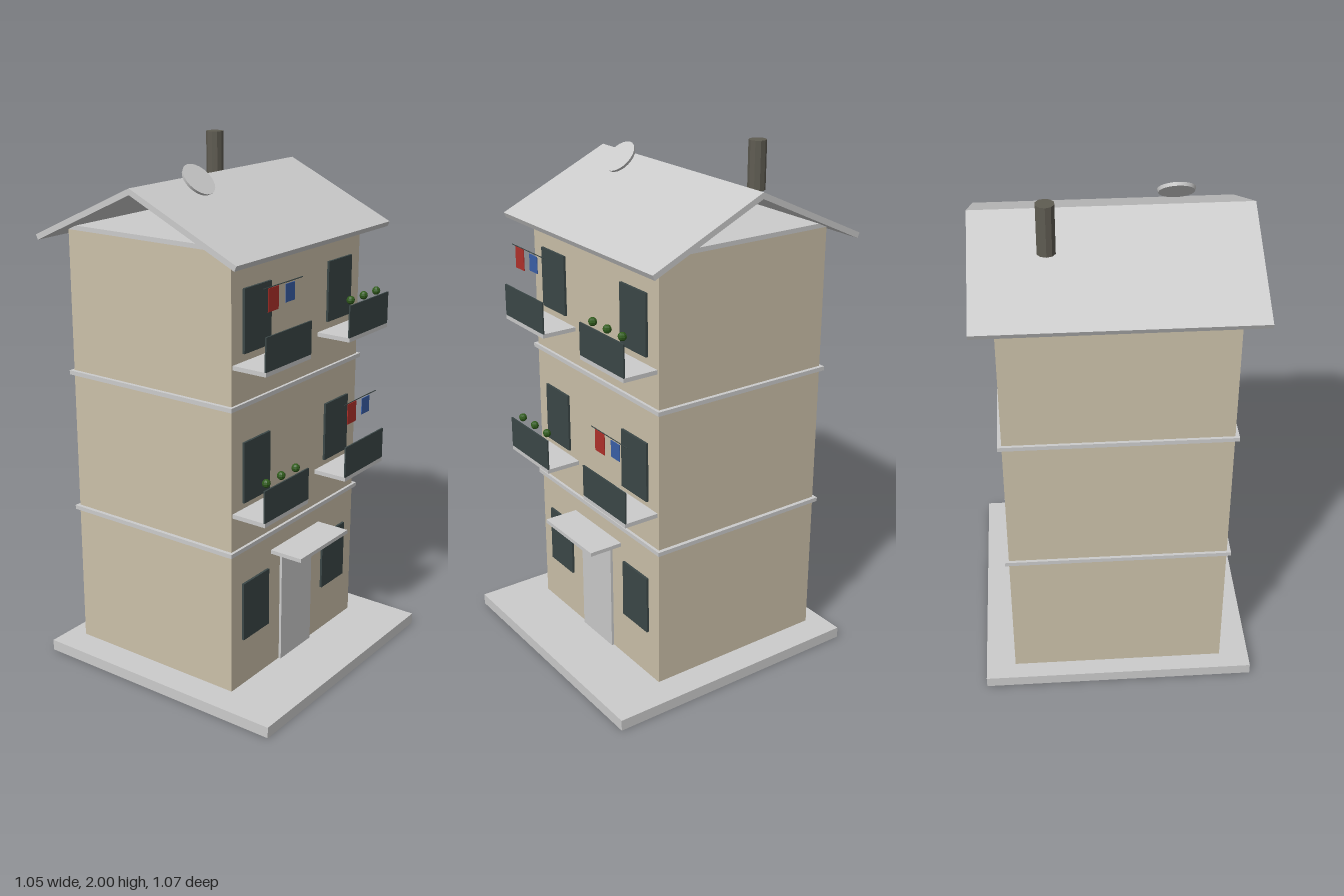
import * as THREE from 'three';

const mat = (name, color) => {
  const m = new THREE.MeshStandardMaterial({ color });
  m.name = name;
  return m;
};

export function createModel() {
  const concrete = mat('light grey concrete', 0xcbcbcb);
  const plaster = mat('beige plaster', 0xcbc0a9);
  const glass = mat('dark slate', 0x3b4747);
  const chimneyMat = mat('chimney brown grey', 0x5f5c52);
  const red = mat('red cloth', 0xb0302a);
  const blue = mat('blue cloth', 0x3a5fa8);
  const green = mat('plant green', 0x305c1c);
  chimneyMat.flatShading = true;
  green.flatShading = true;

  const model = new THREE.Group();
  model.name = 'apartmentHouse';

  const add = (parent, name, geometry, material, x = 0, y = 0, z = 0) => {
    const mesh = new THREE.Mesh(geometry, material);
    mesh.name = name;
    mesh.position.set(x, y, z);
    parent.add(mesh);
    return mesh;
  };
  // Box given by its centre x, width, and y and z ranges
  const box = (parent, name, material, x, w, y0, y1, z0, z1) =>
    add(parent, name, new THREE.BoxGeometry(w, y1 - y0, z1 - z0), material, x, (y0 + y1) / 2, (z0 + z1) / 2);

  const FRONT = 0.285, BACK = -0.45, SIDE = 0.265;

  // Plinth, walls, floor bands and attic floor
  box(model, 'base', concrete, 0, 1.05, 0, 0.043, -0.52, 0.53);
  box(model, 'walls', plaster, 0, 0.82, 0.043, 1.695, BACK, FRONT);
  for (const y of [0.603, 1.153])
    box(model, 'floorBand', concrete, 0, 0.85, y - 0.008, y + 0.008, BACK - 0.011, FRONT + 0.011);
  box(model, 'atticFloor', concrete, 0, 0.82, 1.695, 1.712, BACK, FRONT);

  // Gable roof: a bent slab, open at both ends
  const run = 0.451, drop = 0.208, thick = 0.021;
  const a = Math.atan2(drop, run);
  const dx = thick * Math.sin(a), dy = thick * Math.cos(a);
  const profile = new THREE.Shape([
    [0, 0], [-run, -drop], [-run + dx, -drop - dy], [0, -thick / Math.cos(a)],
    [run - dx, -drop - dy], [run, -drop],
  ].map(([x, y]) => new THREE.Vector2(x, y)));
  const roofGeo = new THREE.ExtrudeGeometry(profile, { depth: 0.984, bevelEnabled: false });
  roofGeo.translate(0, 0, -0.492).rotateY(Math.PI / 2);
  add(model, 'roof', roofGeo, concrete, 0, 1.887, -0.084);

  // Chimney and dish
  add(model, 'chimney', new THREE.CylinderGeometry(0.033, 0.033, 0.18, 10), chimneyMat, 0.229, 1.91, -0.269);
  const dish = add(model, 'dish', new THREE.CylinderGeometry(0.068, 0.064, 0.012, 24), concrete, -0.23, 1.891, 0.008);
  dish.rotation.x = Math.PI / 4;

  // Entrance
  box(model, 'door', concrete, 0, 0.205, 0.043, 0.487, FRONT - 0.005, FRONT + 0.01);
  box(model, 'canopy', concrete, 0, 0.325, 0.513, 0.528, FRONT - 0.005, 0.42);

  // Windows on every storey
  for (const y of [0.232, 0.782, 1.337])
    for (const s of [-1, 1])
      box(model, 'window', glass, s * SIDE, 0.16, y, y + 0.23, FRONT - 0.005, FRONT + 0.009);

  // Balcony with either plants or a clothes line
  const balcony = (x, y, hasLaundry) => {
    const g = new THREE.Group();
    g.name = 'balcony';
    g.position.set(x, y, 0);
    model.add(g);
    box(g, 'balconyFloor', concrete, 0, 0.275, -0.008, 0.008, FRONT - 0.005, 0.424);
    box(g, 'railing', glass, 0, 0.275, 0.008, 0.13, 0.418, 0.424);
    if (hasLaundry) {
      const line = add(g, 'clothesLine', new THREE.CylinderGeometry(0.0018, 0.0018, 0.23, 6), glass, 0, 0.287, 0.397);
      line.rotation.z = Math.PI / 2;
      box(g, 'redCloth', red, -0.06, 0.06, 0.203, 0.284, 0.3955, 0.3985);
      box(g, 'blueCloth', blue, 0.04, 0.054, 0.216, 0.28, 0.3955, 0.3985);
    } else {
      for (const px of [-0.092, 0, 0.092])
        add(g, 'plant', new THREE.SphereGeometry(0.016, 8, 6), green, px, 0.139, 0.397);
    }
  };
  balcony(-SIDE, 1.3, true);
  balcony(SIDE, 1.3, false);
  balcony(-SIDE, 0.75, false);
  balcony(SIDE, 0.75, true);

  return model;
}
